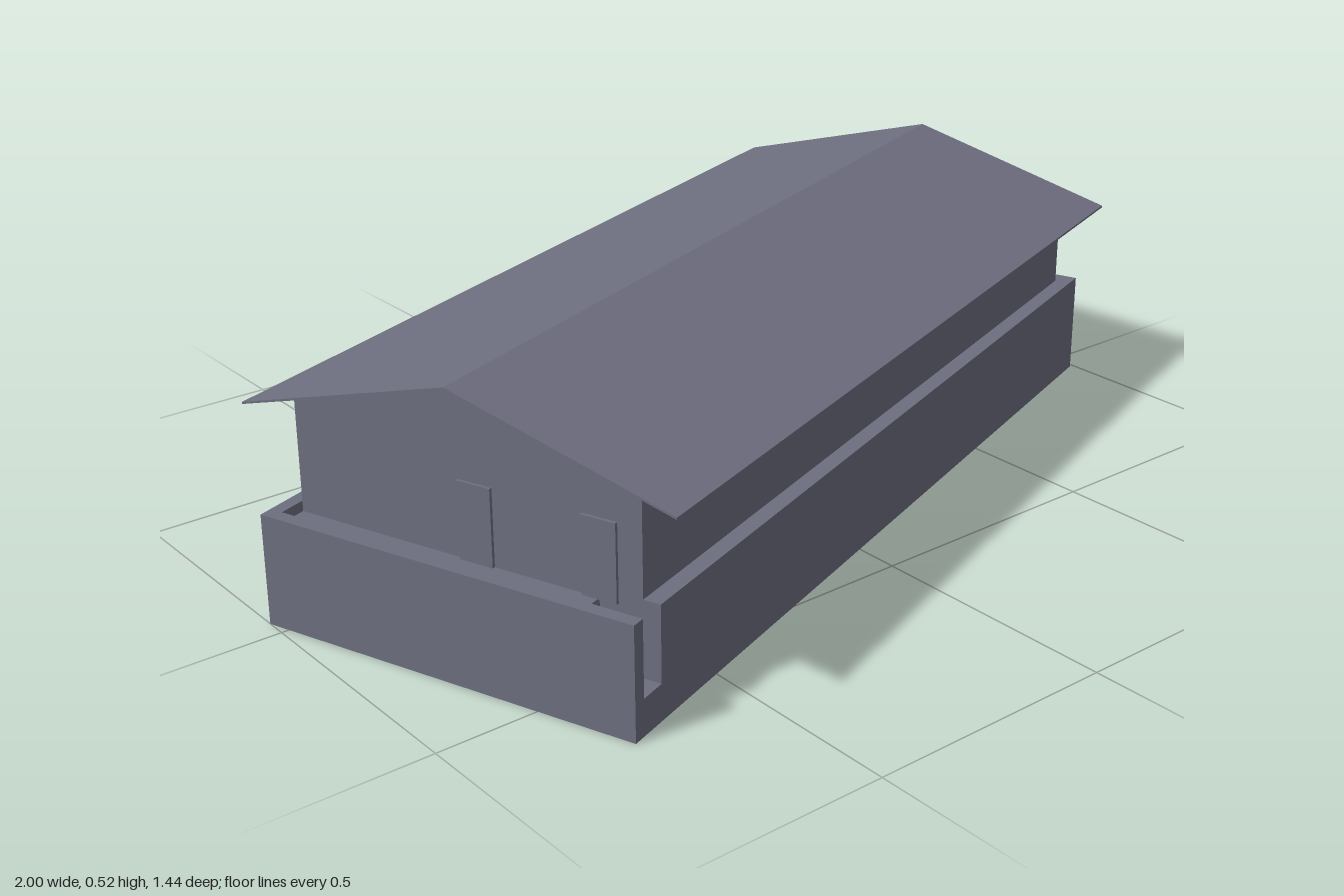
import * as THREE from 'three';

export function createModel() {
  const model = new THREE.Group();
  const house = new THREE.Group();
  house.name = 'house';
  house.rotation.y = THREE.MathUtils.degToRad(20);
  model.add(house);
  const material = new THREE.MeshStandardMaterial({ color: 0x6d6e7f, flatShading: true });

  const add = (name, geometry) => {
    const mesh = new THREE.Mesh(geometry, material);
    mesh.name = name;
    house.add(mesh);
  };
  // Box given by its limits along the length, height and width
  const block = (name, x0, x1, y0, y1, z0, z1) => {
    const g = new THREE.BoxGeometry(x1 - x0, y1 - y0, z1 - z0);
    g.translate((x0 + x1) / 2, (y0 + y1) / 2, (z0 + z1) / 2);
    add(name, g);
  };
  // Cross-section (width, height) swept along the length
  const sweep = (name, points, x0, x1) => {
    const shape = new THREE.Shape(points.map(([a, b]) => new THREE.Vector2(a, b)));
    const g = new THREE.ExtrudeGeometry(shape, { depth: x1 - x0, bevelEnabled: false });
    g.rotateY(Math.PI / 2).translate(x0, 0, 0);
    add(name, g);
  };

  // Plinth with a sunken porch behind a parapet at the right end
  const end = -0.926, inner = -0.9, wall = -0.847, top = 0.215;
  const back = -0.38, front = 0.387, w = 0.354;
  block('plinth', wall, 0.914, 0, top, back, front);
  block('porchParapet', end, inner, 0, top, back, front);
  block('porchBackWall', inner, wall, 0, top, back, -w);

  // Porch floor and the steps up to it from the front
  block('porchFloor', inner, wall, 0, 0.195, -w, 0.27);
  block('porchStep', inner, wall, 0, 0.13, 0.27, 0.325);
  block('porchStep', inner, wall, 0, 0.07, 0.325, front);

  // Gabled walls
  sweep('walls', [[-w, top], [w, top], [w, 0.417], [0, 0.515], [-w, 0.417]], wall, 0.874);

  // Thin gable roof with overhanging eaves
  const e = 0.441;
  sweep('roof', [[-e, 0.394], [0, 0.515], [e, 0.394], [e, 0.398], [0, 0.52], [-e, 0.398]], -0.883, 0.902);

  // Doors opening on the porch
  for (const z of [0.027, 0.273]) block('door', wall - 0.006, wall, 0.195, 0.341, z - 0.034, z + 0.034);

  return model;
}
